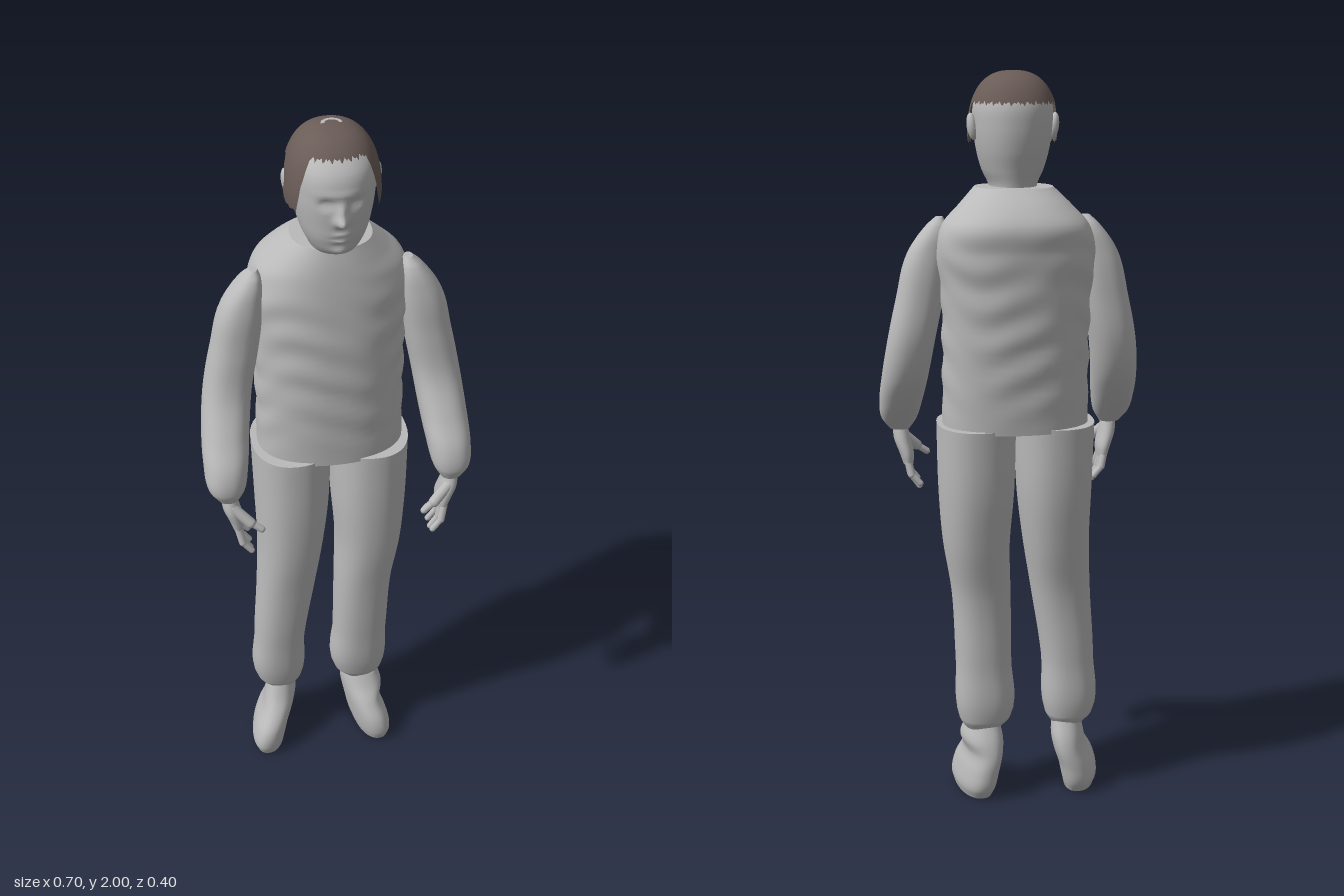
import * as THREE from 'three';

const grey = new THREE.MeshStandardMaterial({ color: 0xbababa });
grey.name = 'plain grey';
const brown = new THREE.MeshStandardMaterial({ color: 0x6a5c57, side: THREE.DoubleSide });
brown.name = 'hair brown';

// Signed power, for superellipse outlines
const sp = (v, p) => Math.sign(v) * Math.abs(v) ** p;

// Smooth body through horizontal sections [y, xMin, xMax, zMin, zMax], lowest first
function loft(name, sections, { seg = 40, steps = 6, power = 2.3, skew = 0, deform } = {}) {
  const curve = new THREE.CubicInterpolant(
    sections.map(s => s[0]), sections.flatMap(s => s.slice(1)), 4, new Array(4));
  const pos = [], index = [], rows = (sections.length - 1) * steps;
  const v = new THREE.Vector3();
  for (let i = 0; i <= rows; i++) {
    const k = Math.min(Math.floor(i / steps), sections.length - 2);
    const y = THREE.MathUtils.lerp(sections[k][0], sections[k + 1][0], i / steps - k);
    const [x0, x1, z0, z1] = curve.evaluate(y);
    for (let j = 0; j < seg; j++) {
      const a = j / seg * Math.PI * 2;
      const dz = sp(Math.cos(a), 2 / power) * (z1 - z0) / 2;
      v.set((x0 + x1) / 2 + sp(Math.sin(a), 2 / power) * (x1 - x0) / 2 + skew * dz, y, (z0 + z1) / 2 + dz);
      if (deform) deform(v, a);
      pos.push(v.x, v.y, v.z);
      if (i < rows) {
        const p = i * seg + j, q = i * seg + (j + 1) % seg;
        index.push(p, q, q + seg, p, q + seg, p + seg);
      }
    }
  }
  // Flat end caps with their own vertices, so the rim stays sharp
  for (const row of [0, rows]) {
    const start = pos.length / 3, c = [0, 0, 0];
    for (let j = 0; j < seg; j++) {
      for (let n = 0; n < 3; n++) {
        const value = pos[(row * seg + j) * 3 + n];
        pos.push(value);
        c[n] += value / seg;
      }
    }
    pos.push(...c);
    for (let j = 0; j < seg; j++) {
      const p = start + j, q = start + (j + 1) % seg;
      if (row) index.push(p, q, start + seg); else index.push(q, p, start + seg);
    }
  }
  const g = new THREE.BufferGeometry();
  g.setAttribute('position', new THREE.Float32BufferAttribute(pos, 3));
  g.setIndex(index);
  g.computeVertexNormals();
  const mesh = new THREE.Mesh(g, grey);
  mesh.name = name;
  return mesh;
}

// Rounded rod between two points
function rod(name, a, b, r) {
  const p = new THREE.Vector3(...a), d = new THREE.Vector3(...b).sub(p);
  const mesh = new THREE.Mesh(new THREE.CapsuleGeometry(r, d.length(), 4, 10), grey);
  mesh.position.copy(p).addScaledVector(d, 0.5);
  mesh.quaternion.setFromUnitVectors(new THREE.Vector3(0, 1, 0), d.normalize());
  mesh.name = name;
  return mesh;
}

// Face relief: [x, y, width, height, depth]
const relief = [
  [0, 1.815, 0.014, 0.013, 0.032], [0, 1.838, 0.011, 0.018, 0.014],
  [-0.035, 1.856, 0.016, 0.011, -0.011], [0.035, 1.856, 0.016, 0.011, -0.011],
  [-0.035, 1.855, 0.009, 0.005, 0.005], [0.035, 1.855, 0.009, 0.005, 0.005],
  [0, 1.88, 0.05, 0.008, 0.004], [0, 1.776, 0.018, 0.005, 0.008],
  [0, 1.768, 0.02, 0.003, -0.004], [0, 1.76, 0.016, 0.005, 0.008],
  [0, 1.727, 0.02, 0.012, 0.009],
];
function face(v) {
  if (v.z < 0.04) return;
  for (const [x, y, w, h, d] of relief) v.z += d * Math.exp(-(((v.x - x) / w) ** 2) - ((v.y - y) / h) ** 2);
}

// Hair cap with a high forehead line, long sideburns and ragged ends
function makeHair() {
  const seg = 160, rows = 18, pos = [], index = [];
  const step = THREE.MathUtils.smoothstep;
  for (let j = 0; j <= seg; j++) {
    const a = (j / seg * 2 - 1) * Math.PI, deg = Math.abs(a) * 180 / Math.PI;
    const rag = 0.004 * Math.sin(j * 2.3) + 0.003 * Math.sin(j * 5.1);
    const low = 1.955 - 0.135 * step(deg, 40, 58) + 0.1 * step(deg, 88, 94) + rag;
    for (let i = 0; i <= rows; i++) {
      const s = i / rows, y = low + (2 - low) * (1 - (1 - s) ** 2);
      const up = Math.max(0, (y - 1.83) / 0.17);
      const r = Math.max(0, 1 - up ** 2.5) ** 0.4 - Math.max(0, 1.83 - y) * 2;
      pos.push(sp(Math.sin(a), 0.92) * 0.117 * r, y, 0.01 + sp(Math.cos(a), 0.92) * 0.135 * r);
      if (i < rows && j < seg) {
        const p = j * (rows + 1) + i, q = p + rows + 1;
        index.push(p, q, q + 1, p, q + 1, p + 1);
      }
    }
  }
  const g = new THREE.BufferGeometry();
  g.setAttribute('position', new THREE.Float32BufferAttribute(pos, 3));
  g.setIndex(index);
  g.computeVertexNormals();
  const mesh = new THREE.Mesh(g, brown);
  mesh.name = 'hair';
  return mesh;
}

export function createModel() {
  const model = new THREE.Group();
  model.name = 'standing man';

  // Shirt with shallow cloth folds
  model.add(loft('torso', [
    [1.08, -0.195, 0.195, -0.162, 0.11], [1.3, -0.193, 0.193, -0.178, 0.114],
    [1.45, -0.197, 0.197, -0.188, 0.112], [1.55, -0.205, 0.207, -0.195, 0.106],
    [1.62, -0.185, 0.19, -0.198, 0.1], [1.665, -0.145, 0.147, -0.165, 0.094],
    [1.71, -0.1, 0.103, -0.11, 0.085],
  ], {
    seg: 72, steps: 10, deform(v, a) {
      const fade = Math.max(0, Math.min(1, (1.64 - v.y) * 8, (v.y - 1.08) * 8));
      const k = 0.003 * fade * Math.sin(v.y * 62 + 2 * Math.sin(a * 3)) * Math.cos(a * 2 + v.y * 5);
      v.x += Math.sin(a) * k;
      v.z += Math.cos(a) * k;
    },
  }));

  // Trouser legs, standing slightly unevenly
  model.add(loft('rightLeg', [
    [0.205, -0.2, -0.105, -0.055, 0.04], [0.23, -0.222, -0.09, -0.068, 0.052],
    [0.4, -0.226, -0.08, -0.074, 0.072], [0.6, -0.214, -0.05, -0.085, 0.088],
    [0.75, -0.206, -0.026, -0.118, 0.105], [0.9, -0.208, -0.008, -0.145, 0.114],
    [1.09, -0.212, 0, -0.16, 0.115],
  ]));
  model.add(loft('leftLeg', [
    [0.205, 0.035, 0.14, -0.055, 0.04], [0.23, 0.012, 0.155, -0.068, 0.052],
    [0.4, 0.008, 0.163, -0.074, 0.072], [0.6, 0.01, 0.172, -0.085, 0.088],
    [0.75, 0.014, 0.195, -0.118, 0.105], [0.9, 0.004, 0.206, -0.145, 0.114],
    [1.09, 0, 0.21, -0.16, 0.115],
  ]));

  // Shoes, toes turned outwards
  model.add(loft('rightShoe', [
    [0, -0.238, -0.15, -0.066, 0.112], [0.03, -0.246, -0.143, -0.085, 0.122],
    [0.08, -0.235, -0.132, -0.092, 0.118], [0.13, -0.21, -0.115, -0.09, 0.092],
    [0.17, -0.2, -0.107, -0.08, 0.066], [0.215, -0.19, -0.11, -0.058, 0.045],
  ], { skew: -0.18 }));
  model.add(loft('leftShoe', [
    [0, 0.072, 0.158, -0.066, 0.112], [0.03, 0.062, 0.165, -0.085, 0.122],
    [0.08, 0.052, 0.155, -0.092, 0.118], [0.13, 0.042, 0.138, -0.09, 0.092],
    [0.17, 0.038, 0.148, -0.08, 0.066], [0.215, 0.045, 0.135, -0.058, 0.045],
  ], { skew: 0.18 }));

  // Arms and hands, mirrored
  for (const [side, s] of [['left', 1], ['right', -1]]) {
    const flip = list => list.map(([y, a, b, c, d]) => (s > 0 ? [y, a, b, c, d] : [y, -b, -a, c, d]));
    const at = (x, y, z) => [x * s, y, z];
    model.add(loft(side + 'Arm', flip([
      [1.04, 0.268, 0.322, 0.118, 0.172], [1.07, 0.25, 0.345, 0.09, 0.182],
      [1.13, 0.236, 0.352, 0.035, 0.172], [1.2, 0.225, 0.348, -0.015, 0.132],
      [1.3, 0.21, 0.335, -0.047, 0.085], [1.42, 0.187, 0.31, -0.052, 0.07],
      [1.54, 0.172, 0.278, -0.045, 0.062], [1.61, 0.175, 0.228, -0.028, 0.042],
      [1.632, 0.184, 0.204, -0.008, 0.022],
    ])));
    const hand = new THREE.Group();
    hand.name = side + 'Hand';
    hand.add(loft('palm', flip([
      [0.94, 0.26, 0.288, 0.1, 0.178], [0.97, 0.258, 0.298, 0.098, 0.182],
      [1.01, 0.266, 0.312, 0.108, 0.182], [1.05, 0.275, 0.315, 0.122, 0.168],
    ]), { seg: 24, power: 2.1 }));
    for (let i = 0; i < 4; i++) {
      const z = 0.11 + i * 0.02, drop = [0.018, 0.004, 0, 0.012][i];
      const knuckle = at(0.276, 0.95, z), joint = at(0.267, 0.905 + drop / 2, z - 0.008 + i * 0.006);
      hand.add(rod('finger', knuckle, joint, 0.01));
      hand.add(rod('fingertip', joint, at(0.245, 0.872 + drop, z - 0.012 + i * 0.008), 0.0085));
    }
    hand.add(rod('thumbBase', at(0.288, 1.02, 0.165), at(0.245, 0.978, 0.183), 0.0145));
    hand.add(rod('thumbTip', at(0.245, 0.978, 0.183), at(0.217, 0.958, 0.189), 0.0095));
    model.add(hand);

    // Ear
    const ear = new THREE.Mesh(new THREE.SphereGeometry(1, 16, 12), grey);
    ear.scale.set(0.014, 0.035, 0.02);
    ear.position.set(0.106 * s, 1.86, 0.008);
    ear.rotation.z = -0.15 * s;
    ear.name = side + 'Ear';
    model.add(ear);
  }

  // Head with neck
  model.add(loft('head', [
    [1.66, -0.06, 0.06, -0.072, 0.06], [1.69, -0.06, 0.06, -0.074, 0.068],
    [1.712, -0.062, 0.062, -0.076, 0.11], [1.75, -0.079, 0.079, -0.086, 0.132],
    [1.8, -0.093, 0.093, -0.101, 0.14], [1.86, -0.101, 0.101, -0.11, 0.144],
    [1.92, -0.1, 0.1, -0.107, 0.135], [1.955, -0.084, 0.084, -0.088, 0.106],
    [1.98, -0.055, 0.055, -0.055, 0.072], [1.992, -0.02, 0.02, -0.015, 0.035],
  ], { seg: 112, steps: 8, power: 2.15, deform: face }));

  model.add(makeHair());

  // Small bare arc on the crown
  const crown = new THREE.Mesh(new THREE.RingGeometry(0.017, 0.026, 20, 1, 0, Math.PI), grey);
  crown.rotation.x = -Math.PI / 2;
  crown.position.set(0, 2.001, 0.012);
  crown.name = 'crownPatch';
  model.add(crown);
  return model;
}
